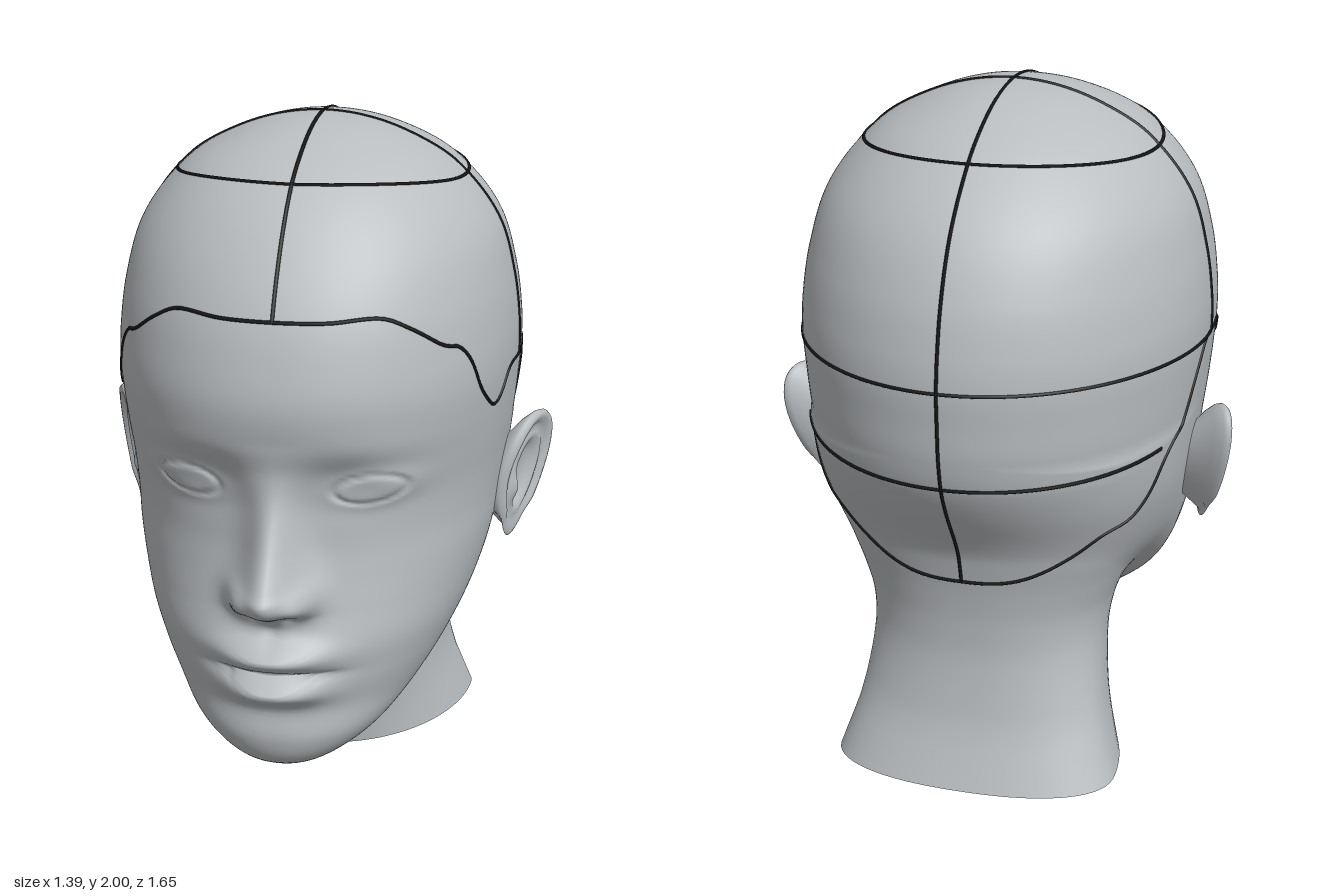
import * as THREE from 'three';
import { mergeVertices } from 'three/addons/utils/BufferGeometryUtils.js';

// Smooth interpolation of table rows [y, ...values], y ascending
function table(rows) {
  const n = rows.length;
  const slope = (i, c) => {
    const a = rows[Math.max(i - 1, 0)], b = rows[Math.min(i + 1, n - 1)];
    return (b[c] - a[c]) / (b[0] - a[0]);
  };
  const slopes = rows.map((r, i) => r.map((_, c) => (c ? slope(i, c) : 0)));
  return (y) => {
    if (y <= rows[0][0]) return rows[0];
    if (y >= rows[n - 1][0]) return rows[n - 1];
    let i = 0;
    while (rows[i + 1][0] < y) i++;
    const a = rows[i], b = rows[i + 1], h = b[0] - a[0], t = (y - a[0]) / h, t2 = t * t, t3 = t2 * t;
    return a.map((v, c) => (2 * t3 - 3 * t2 + 1) * v + (t3 - 2 * t2 + t) * h * slopes[i][c]
      + (3 * t2 - 2 * t3) * b[c] + (t3 - t2) * h * slopes[i + 1][c]);
  };
}
// Section rows [y, z of widest point, front z, back z, half width]; extents are kept squared so ends round off
const sections = (rows) => table(rows.map(([y, c, f, b, w]) => [y, c, (f - c) ** 2, (c - b) ** 2, w * w]));

const skull = sections([
  [0.165, 0.42, 0.42, 0.42, 0], [0.18, 0.41, 0.56, 0.2, 0.1], [0.22, 0.4, 0.635, 0.1, 0.18],
  [0.3, 0.33, 0.672, 0.05, 0.288], [0.4, 0.2, 0.665, -0.06, 0.375], [0.5, 0.1, 0.68, -0.19, 0.438],
  [0.6, 0.03, 0.685, -0.34, 0.485], [0.7, -0.02, 0.66, -0.5, 0.518], [0.8, -0.05, 0.637, -0.63, 0.54],
  [0.9, -0.08, 0.625, -0.725, 0.553], [1.0, -0.1, 0.632, -0.785, 0.567], [1.1, -0.1, 0.657, -0.81, 0.58],
  [1.2, -0.1, 0.687, -0.817, 0.59], [1.3, -0.1, 0.7, -0.82, 0.597], [1.4, -0.1, 0.685, -0.808, 0.595],
  [1.54, -0.09, 0.64, -0.77, 0.576], [1.7, -0.08, 0.545, -0.685, 0.528], [1.86, -0.07, 0.39, -0.515, 0.4],
  [1.95, -0.07, 0.205, -0.336, 0.24], [1.998, -0.07, -0.07, -0.07, 0]]);
const neck = sections([
  [-0.1, -0.5, 0.04, -0.72, 0.46], [0, -0.48, 0.06, -0.685, 0.428], [0.1, -0.44, 0.085, -0.645, 0.395],
  [0.2, -0.4, 0.12, -0.615, 0.37], [0.38, -0.32, 0.14, -0.59, 0.352], [0.5, -0.27, 0.14, -0.592, 0.367],
  [0.6, -0.24, 0.13, -0.605, 0.405], [0.7, -0.23, 0.12, -0.627, 0.445], [0.8, -0.22, 0.1, -0.655, 0.475],
  [0.9, -0.2, 0.08, -0.685, 0.5], [1.0, -0.2, 0.05, -0.71, 0.5]]);
const nose = table([
  [0.63, 0, 0.08], [0.66, 0.012, 0.08], [0.69, 0.045, 0.085], [0.71, 0.095, 0.09], [0.74, 0.158, 0.092],
  [0.775, 0.183, 0.092], [0.8, 0.169, 0.09], [0.9, 0.116, 0.075], [1.0, 0.062, 0.07], [1.06, 0.033, 0.08],
  [1.12, 0.012, 0.1], [1.2, 0, 0.12]]);

// Approximate distance to a stack of sections, with front and back roundness
function loft(section, front, back, x, y, z) {
  const [, c, f2, b2, w2] = section(y);
  const p = z > c ? front : back;
  const w = Math.sqrt(Math.max(w2, 1e-6)), d = Math.sqrt(Math.max(z > c ? f2 : b2, 1e-6));
  const a = Math.abs(x) / w, b = Math.abs(z - c) / d;
  const r = Math.max((a ** p + b ** p) ** (1 / p), 1e-4);
  return (r - 1) / (Math.hypot((a / r) ** (p - 1) / w, (b / r) ** (p - 1) / d) + 1e-9);
}
const bell = (v, c, s, p = 2) => Math.exp(-(Math.abs((v - c) / s) ** p));

// Height of the facial features over the plain face
function relief(x, y) {
  x = Math.abs(x);
  const [, height, width] = nose(y);
  let h = height * bell(x, 0, width);
  h += 0.045 * bell(x, 0.09, 0.04) * bell(y, 0.745, 0.045);          // nostril wings
  h -= 0.014 * bell(x, 0.05, 0.025) * bell(y, 0.702, 0.016);         // nostrils
  h += 0.068 * bell(x, 0, 0.15, 2.5) * bell(y, 0.575, 0.042);        // upper lip
  h += 0.064 * bell(x, 0, 0.14, 2.5) * bell(y, 0.465, 0.042);        // lower lip
  h -= 0.018 * bell(x, 0, 0.18, 4) * bell(y, 0.521, 0.012);          // mouth line
  h -= 0.008 * bell(x, 0, 0.025) * bell(y, 0.645, 0.035);            // philtrum
  h += 0.006 * bell(x, 0.24, 0.15) * bell(y, 1.17, 0.06);            // brow
  h -= 0.026 * bell(x, 0.19, 0.12) * bell(y, 1.07, 0.085);           // eye socket
  const e = Math.hypot((x - 0.26) / 0.096, (y - 1.055 - 0.06 * (x - 0.26)) / 0.043);
  h += 0.018 * bell(e, 0, 1.3, 3) - 0.008 * bell(e, 1, 0.12);        // eyeball and lid crease
  return h;
}

// Signed field of head and neck
function field(x, y, z) {
  let a = Math.max(loft(skull, 2.15, 2.03, x, y, z), y - 1.998, 0.165 - y);
  if (z > 0.2 && y > 0.3 && y < 1.5) a -= relief(x, y) * THREE.MathUtils.smoothstep(z, 0.2, 0.45);
  if (y > 1.1) return a;
  const b = Math.max(loft(neck, 1.9, 2.3, x, y, z), y - 1);
  const k = 0.1, h = Math.max(k - Math.abs(a - b), 0) / k;
  return Math.min(a, b) - h * h * k / 4;
}

const centre = new THREE.Vector3(0, 1, -0.07);
// Surface point reached from an inner origin along a unit direction
function hit(o, d) {
  let lo = 0, hi = 1.6;
  for (let i = 0; i < 24; i++) {
    const m = (lo + hi) / 2;
    if (field(o.x + d.x * m, o.y + d.y * m, o.z + d.z * m) < 0) lo = m; else hi = m;
  }
  return o.clone().addScaledVector(d, lo);
}
const project = (p) => hit(centre, p.clone().sub(centre).normalize());

function build(positions, index) {
  const g = new THREE.BufferGeometry();
  g.setAttribute('position', new THREE.Float32BufferAttribute(positions, 3));
  g.setIndex(index);
  g.computeVertexNormals();
  return g;
}

// Head skin as a grid of rays, denser on the face, plus the flat neck base
function headGeometries() {
  const cols = 240, rows = 210, pos = new Array((rows + 1) * cols * 3), index = [], rim = [0, 0, -0.3], fan = [];
  const at = (t, p) => hit(centre, new THREE.Vector3(Math.sin(t) * Math.sin(p), Math.cos(t), Math.sin(t) * Math.cos(p)));
  const warp = (t) => t - 0.08 * (Math.sin(2 * Math.PI * (t - 0.58)) + Math.sin(2 * Math.PI * 0.58));
  for (let j = 0; j < cols; j++) {
    const u = (j / cols) * Math.PI * 2, phi = u - 0.55 * Math.sin(u), k = (j + 1) % cols;
    let lo = Math.PI / 2, hi = Math.PI;
    for (let i = 0; i < 24; i++) {
      const m = (lo + hi) / 2;
      if (at(m, phi).y > 0) lo = m; else hi = m;
    }
    for (let i = 0; i <= rows; i++) {
      const v = at(lo * warp(i / rows), phi);
      if (i === rows) { v.y = 0; rim.push(v.x, 0, v.z); }
      v.toArray(pos, (i * cols + j) * 3);
      if (i === rows) continue;
      const a = i * cols + j, b = a + cols, c = (i + 1) * cols + k, d = i * cols + k;
      if (i > 0) index.push(a, c, d);
      index.push(a, b, c);
    }
    fan.push(0, k + 1, j + 1);
  }
  return [build(pos, index), build(rim, fan)];
}

// Ear: a turned bowl with a rolled rim, bent into an egg shape that flares backwards
function earGeometry(side) {
  const profile = [[0.3, -0.13], [0.6, -0.07], [0.88, -0.03], [0.98, -0.008], [1, 0.006], [0.95, 0.018], [0.87, 0.018],
    [0.8, 0.008], [0.73, 0.0], [0.65, 0.006], [0.57, 0.008], [0.48, -0.004], [0.36, -0.018], [0.15, -0.022], [0, -0.022]];
  let g = new THREE.LatheGeometry(profile.map(([r, h]) => new THREE.Vector2(r, h)), 48);
  g.deleteAttribute('uv');
  g.deleteAttribute('normal');
  g = mergeVertices(g, 1e-5);
  const p = g.attributes.position;
  for (let i = 0; i < p.count; i++) {
    const u = p.getX(i), v = p.getZ(i);
    let h = p.getY(i);
    h += 0.02 * bell(u, 0.5, 0.2) * bell(v, -0.15, 0.2);             // tragus
    h -= 0.014 * bell(u, 1, 0.35) * bell(v, -0.1, 0.6);              // front edge sinks into the cheek
    if (h > -0.035) h = THREE.MathUtils.lerp(h, 0.006, 0.8 * THREE.MathUtils.smoothstep(-v, 0.45, 0.75)); // lobe
    const a = u * (0.09 + 0.022 * v), b = v * 0.195;
    p.setXYZ(i, side * (0.615 - 0.5 * a + 0.2 * b + h), 0.895 + b, -0.11 - 0.18 * b + a);
  }
  if (side < 0) {
    const ix = g.index;
    for (let i = 0; i < ix.count; i += 3) {
      const t = ix.getX(i);
      ix.setX(i, ix.getX(i + 1));
      ix.setX(i + 1, t);
    }
  }
  g.computeVertexNormals();
  return g;
}

// Thin line laid on the scalp along rough guide points
function lineGeometry(points, closed = false) {
  const guide = new THREE.CatmullRomCurve3(points, closed, 'centripetal').getSpacedPoints(150).map(project);
  if (closed) guide.pop();
  return new THREE.TubeGeometry(new THREE.CatmullRomCurve3(guide, closed), 200, 0.0055, 5, closed);
}
const sweep = (from, to, n, fn) => Array.from({ length: n + 1 }, (_, i) => fn(from + (to - from) * i / n));

export function createModel() {
  const skin = new THREE.MeshStandardMaterial({ name: 'grey', color: 0xb9bdc0 });
  const ink = new THREE.MeshStandardMaterial({ name: 'black', color: 0x15171a });
  const model = new THREE.Group();
  const add = (name, geometry, material) => {
    const mesh = new THREE.Mesh(geometry, material);
    mesh.name = name;
    model.add(mesh);
  };
  const V = (x, y, z) => new THREE.Vector3(x, y, z);

  const [head, base] = headGeometries();
  add('head', head, skin);
  add('neckBase', base, skin);
  add('leftEar', earGeometry(1), skin);
  add('rightEar', earGeometry(-1), skin);

  // Hairline: front corner, then side points [z, y], then nape
  const sidePoints = [[0.44, 1.445], [0.39, 1.43], [0.35, 1.385], [0.3, 1.29], [0.25, 1.24], [0.2, 1.208], [0.17, 1.208],
    [0.13, 1.235], [0.1, 1.27], [0.06, 1.29], [-0.04, 1.29], [-0.13, 1.29], [-0.16, 1.27], [-0.22, 1.18], [-0.28, 1.07],
    [-0.32, 1.05], [-0.37, 1.0], [-0.42, 0.9], [-0.46, 0.84], [-0.52, 0.81], [-0.56, 0.74]];
  const half = [V(0.15, 1.54, 0.62), V(0.29, 1.54, 0.55), V(0.35, 1.505, 0.51),
    ...sidePoints.map(([z, y]) => hit(V(0, y, z), V(1, 0, 0))), V(0.16, 0.67, -0.6)];
  const mirrored = half.map((p) => V(-p.x, p.y, p.z)).reverse();
  add('hairline', lineGeometry([V(0, 1.54, 0.64), ...half, V(0, 0.645, -0.63), ...mirrored], true), ink);

  // Section lines over the scalp
  add('centreLine', lineGeometry([V(0, 1.54, 0.64), V(0, 1.86, 0.39), V(0, 2, -0.07), V(0, 1.86, -0.51),
    V(0, 1.3, -0.82), V(0, 1, -0.79), V(0, 0.645, -0.63)]), ink);
  add('crossLine', lineGeometry([V(-0.6, 1.29, -0.07), V(-0.53, 1.7, -0.07), V(-0.24, 1.95, -0.07), V(0, 2, -0.07),
    V(0.24, 1.95, -0.07), V(0.53, 1.7, -0.07), V(0.6, 1.29, -0.07)]), ink);
  add('crownRing', lineGeometry(sweep(0, Math.PI * 1.95, 39, (a) =>
    V(0.43 * Math.cos(a), 1.83 + 0.035 * Math.sin(a) ** 2, -0.07 + 0.45 * Math.sin(a))), true), ink);
  add('upperBackLine', lineGeometry(sweep(-1, 1, 20, (t) => {
    const a = t * Math.PI / 2;
    return V(0.6 * Math.sin(a), 1.305 - 0.015 * t * t, -0.07 - 0.75 * Math.cos(a));
  })), ink);
  add('lowerBackLine', lineGeometry(sweep(-1, 1, 20, (t) =>
    V(0.57 * Math.sin(t * 1.11), 1.015 + 0.025 * t * t, -0.07 - 0.72 * Math.cos(t * 1.11)))), ink);
  return model;
}
